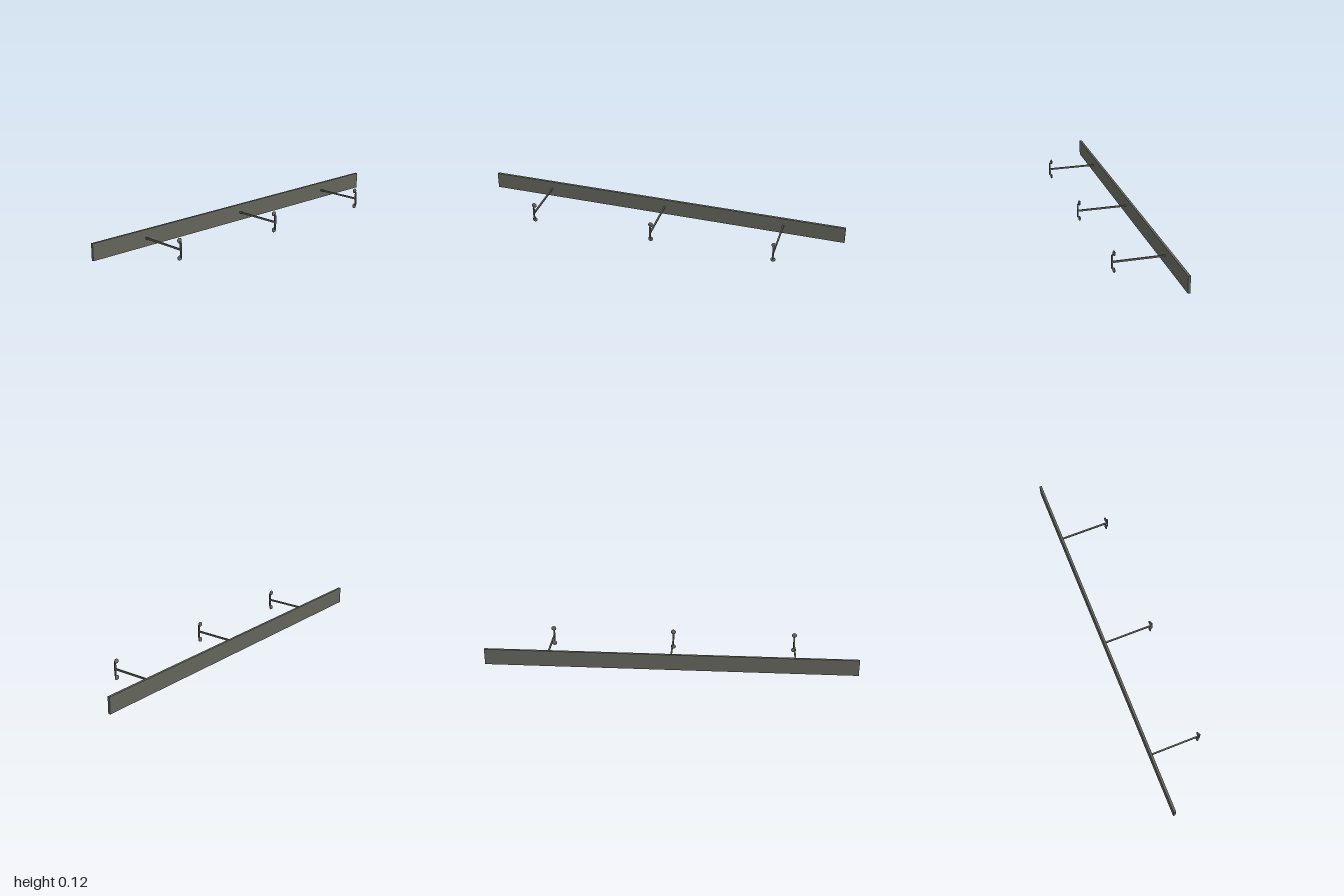
import * as THREE from 'three';

export function createModel() {
  const model = new THREE.Group();
  const steel = new THREE.MeshStandardMaterial({ color: 0x62635a });
  steel.name = 'dull olive grey';
  const padGrey = new THREE.MeshStandardMaterial({ color: 0x6c6d6c });
  padGrey.name = 'pad grey';

  const add = (parent, name, geometry, material, x, y, z) => {
    const mesh = new THREE.Mesh(geometry, material);
    mesh.name = name;
    mesh.position.set(x, y, z);
    parent.add(mesh);
    return mesh;
  };

  // Long flat board at the back
  add(model, 'board', new THREE.BoxGeometry(2, 0.09, 0.013), steel, 0, 0.06, -0.1365);

  // Round pad with a softened rim, facing along z
  const padProfile = [
    [0, -0.0048], [0.009, -0.0048], [0.0118, -0.0036], [0.0135, -0.001],
    [0.0135, 0.001], [0.0118, 0.0036], [0.009, 0.0048], [0, 0.0048],
  ].map(([r, y]) => new THREE.Vector2(r, y));
  const padGeometry = new THREE.LatheGeometry(padProfile, 20).rotateX(Math.PI / 2);

  // Upright with its back edge slanting in to the pads, extruded across x
  const postShape = new THREE.Shape([
    [0.144, 0.036], [0.144, -0.036], [0.134, -0.043], [0.134, -0.038],
    [0.136, -0.037], [0.136, 0.037], [0.134, 0.038], [0.134, 0.043],
  ].map(([z, y]) => new THREE.Vector2(-z, y)));
  const postGeometry = new THREE.ExtrudeGeometry(postShape, { depth: 0.008, bevelEnabled: false })
    .translate(0, 0, -0.004)
    .rotateY(Math.PI / 2);

  // Three T-shaped brackets reaching forward
  for (const x of [-0.667, 0, 0.667]) {
    const bracket = new THREE.Group();
    bracket.name = 'bracket';
    bracket.position.set(x, 0.06, 0);
    add(bracket, 'arm', new THREE.BoxGeometry(0.008, 0.009, 0.268), steel, 0, 0, 0.004);
    add(bracket, 'post', postGeometry, steel, 0, 0, 0);
    for (const side of [-1, 1]) {
      add(bracket, 'pad', padGeometry, padGrey, 0, side * 0.045, 0.1305);
    }
    model.add(bracket);
  }
  return model;
}
